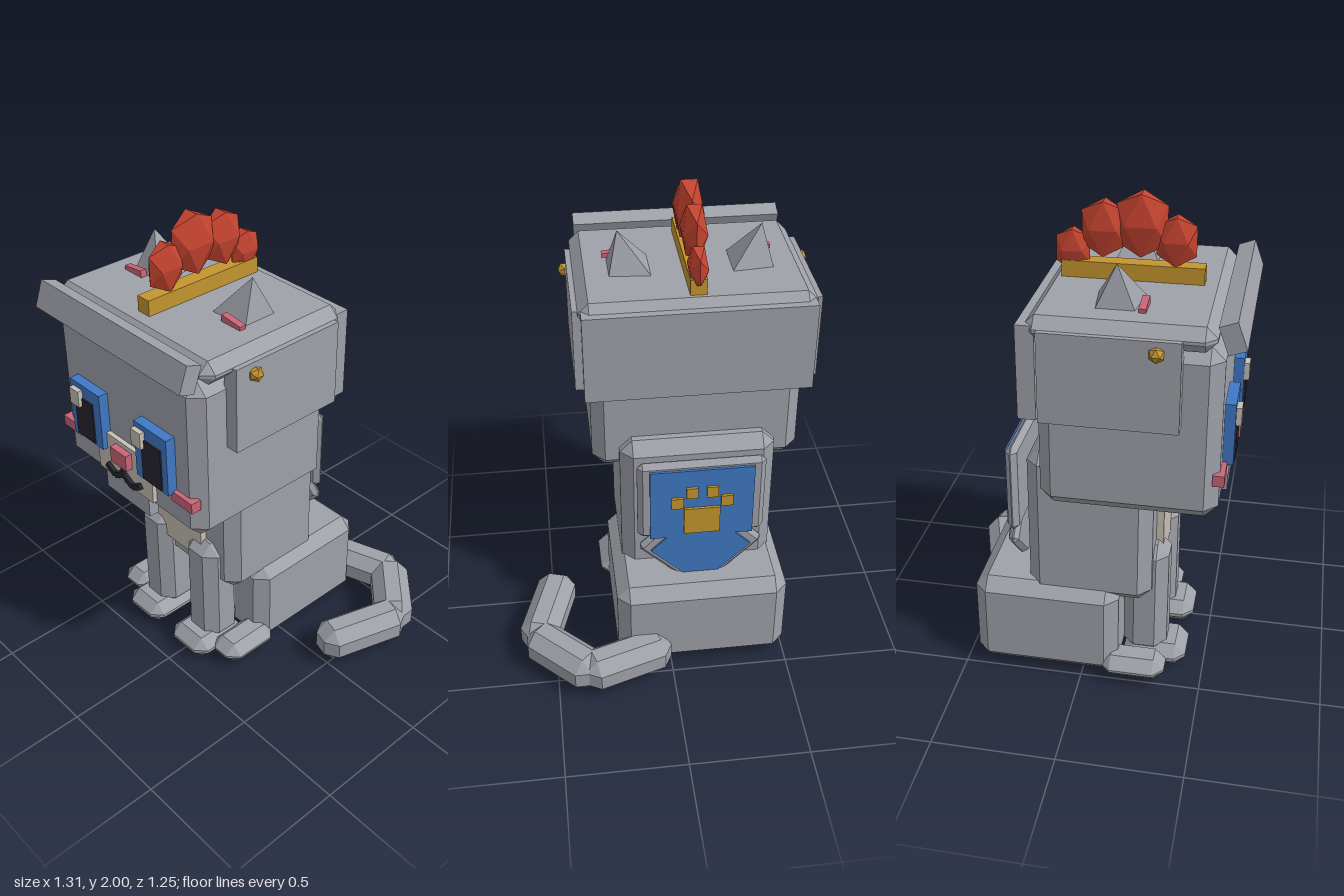
import * as THREE from 'three';
import { ConvexGeometry } from 'three/addons/geometries/ConvexGeometry.js';

const paint = (name, color) => {
  const m = new THREE.MeshStandardMaterial({ color });
  m.name = name;
  m.flatShading = true;
  return m;
};

// Box with every edge cut at 45 degrees
function bevelBox(w, h, d, c) {
  const pts = [];
  for (const sx of [-1, 1]) for (const sy of [-1, 1]) for (const sz of [-1, 1]) {
    const x = w / 2, y = h / 2, z = d / 2;
    pts.push(new THREE.Vector3(sx * x, sy * (y - c), sz * (z - c)));
    pts.push(new THREE.Vector3(sx * (x - c), sy * y, sz * (z - c)));
    pts.push(new THREE.Vector3(sx * (x - c), sy * (y - c), sz * z));
  }
  return new ConvexGeometry(pts);
}

export function createModel() {
  const grey = paint('grey fur', 0x9fa1a9);
  const cream = paint('cream fur', 0xc8c0b4);
  const blue = paint('blue', 0x3f78c4);
  const dark = paint('black', 0x25252f);
  const pink = paint('pink', 0xcb6478);
  const gold = paint('gold', 0xc4952f);
  const red = paint('red', 0xc4432f);

  const model = new THREE.Group();
  model.name = 'cat';
  // The body's middle plane; the tail swings out to the left of it
  const body = new THREE.Group();
  body.name = 'body';
  body.position.x = -0.136;
  model.add(body);

  const add = (name, geo, mat, x, y, z, parent = body) => {
    const m = new THREE.Mesh(geo, mat);
    m.name = name;
    m.position.set(x, y, z);
    parent.add(m);
    return m;
  };
  // Box from its limits: half-open ranges in x, y, z, with an optional bevel
  const block = (name, mat, [x0, x1], [y0, y1], [z0, z1], bevel = 0) => {
    const s = [x1 - x0, y1 - y0, z1 - z0];
    const geo = bevel ? bevelBox(...s, bevel) : new THREE.BoxGeometry(...s);
    return add(name, geo, mat, (x0 + x1) / 2, (y0 + y1) / 2, (z0 + z1) / 2);
  };
  const wide = (w) => [-w / 2, w / 2];
  const pair = (name, mat, [x0, x1], y, z, bevel) => {
    block('left' + name, mat, [x0, x1], y, z, bevel);
    block('right' + name, mat, [-x1, -x0], y, z, bevel);
  };

  // Torso, haunches and legs
  block('torso', grey, wide(0.645), [0.36, 1.03], [-0.23, 0.28], 0.052);
  block('chest', cream, wide(0.315), [0.48, 0.9], [0.25, 0.31]);
  block('haunches', grey, wide(0.73), [0.01, 0.425], [-0.455, 0.15], 0.052);
  pair('FrontLeg', grey, [0.06, 0.246], [0.05, 0.585], [0.155, 0.34], 0.048);
  pair('FrontPaw', grey, [0.04, 0.268], [0, 0.105], [0.16, 0.425], 0.045);
  pair('HindPaw', grey, [0.235, 0.4], [0.015, 0.115], [0.08, 0.35], 0.045);

  // Head and face
  block('head', grey, wide(0.862), [0.865, 1.57], [-0.15, 0.54], 0.052);
  block('muzzle', cream, wide(0.35), [0.935, 1.13], [0.5, 0.56]);
  block('chin', grey, wide(0.28), [0.845, 0.936], [0.51, 0.555]);
  block('nose', pink, wide(0.1), [1.037, 1.108], [0.54, 0.59]);
  pair('Eye', blue, [0.11, 0.304], [1.055, 1.31], [0.53, 0.582]);
  pair('Pupil', dark, [0.156, 0.272], [1.066, 1.25], [0.58, 0.588]);
  pair('Cheek', pink, [0.293, 0.415], [1.02, 1.066], [0.515, 0.56]);
  // Both eye glints sit on the same side
  block('rightGlint', cream, [-0.282, -0.224], [1.213, 1.286], [0.58, 0.603]);
  block('leftGlint', cream, [0.115, 0.173], [1.213, 1.286], [0.58, 0.603]);

  // Mouth: a short stem and a zigzag of four bars
  block('mouthStem', dark, wide(0.018), [0.97, 1.04], [0.555, 0.577]);
  for (const s of [-1, 1]) {
    const bar = new THREE.BoxGeometry(0.058, 0.024, 0.02);
    add('mouthInner', bar, dark, s * 0.03, 0.97, 0.567).rotation.z = -s * 0.5;
    add('mouthOuter', bar, dark, s * 0.083, 0.97, 0.567).rotation.z = s * 0.5;
  }

  // Helmet: crown plate, side guards, neck guard, tilted brow
  block('helmetCrown', grey, wide(0.93), [1.565, 1.662], [-0.187, 0.512], 0.042);
  pair('HelmetSide', grey, [0.42, 0.487], [1.262, 1.62], [-0.127, 0.393]);
  block('helmetNeckGuard', grey, wide(0.91), [1.255, 1.63], [-0.21, -0.14]);
  add('helmetBrow', new THREE.BoxGeometry(0.88, 0.112, 0.07), grey, 0, 1.63, 0.564)
    .rotation.x = -0.35;
  for (const s of [-1, 1]) {
    add('helmetStud', new THREE.IcosahedronGeometry(0.031), gold, s * 0.493, 1.573, 0.305);

    // Four-sided ear leaning outward
    const ear = new THREE.ConeGeometry(0.125, 0.18, 4).rotateY(Math.PI / 4).translate(0, 0.09, 0);
    add('ear', ear, grey, s * 0.25, 1.645, 0.13).rotation.z = -s * 0.21;
    add('earTrim', new THREE.BoxGeometry(0.104, 0.07, 0.028), pink, s * 0.289, 1.65, 0.231)
      .rotation.z = -s * 0.12;
  }

  // Plume on a gold rail: [z, y, radius]
  block('plumeRail', gold, wide(0.066), [1.65, 1.727], [-0.13, 0.42]);
  for (const [z, y, r] of [[0.307, 1.82, 0.112], [0.175, 1.878, 0.143], [0.03, 1.855, 0.126], [-0.09, 1.765, 0.096]]) {
    add('plume', new THREE.IcosahedronGeometry(r), red, 0, y, z).scale.set(0.45, 1, 0.8);
  }

  // Back shield: plate with a pointed lower half, blue facing and gold paw mark
  block('shieldPlate', grey, wide(0.53), [0.62, 1.005], [-0.325, -0.277], 0.022);
  add('shieldPoint', bevelBox(0.38, 0.38, 0.042, 0.018), grey, 0, 0.57, -0.304).rotation.z = Math.PI / 4;
  block('shieldFace', blue, wide(0.43), [0.63, 0.975], [-0.336, -0.32]);
  add('shieldFacePoint', new THREE.BoxGeometry(0.3, 0.3, 0.015), blue, 0, 0.56, -0.327).rotation.z = Math.PI / 4;
  block('pawPad', gold, wide(0.15), [0.655, 0.785], [-0.347, -0.333]);
  pair('InnerToe', gold, [0.018, 0.066], [0.84, 0.892], [-0.347, -0.333]);
  pair('OuterToe', gold, [0.078, 0.128], [0.79, 0.842], [-0.347, -0.333]);

  // Tail: bevelled segments curling along the ground
  const tail = new THREE.Group();
  tail.name = 'tail';
  model.add(tail);
  const path = [[0.05, -0.455], [0.36, -0.555], [0.575, -0.345], [0.475, -0.02]];
  for (let i = 0; i < 3; i++) {
    const [x0, z0] = path[i], [x1, z1] = path[i + 1];
    const len = Math.hypot(x1 - x0, z1 - z0) + 0.07;
    add('tailSegment', bevelBox(0.17, 0.17, len, 0.05), grey, (x0 + x1) / 2, 0.105, (z0 + z1) / 2, tail)
      .rotation.y = Math.atan2(x1 - x0, z1 - z0);
  }
  return model;
}
